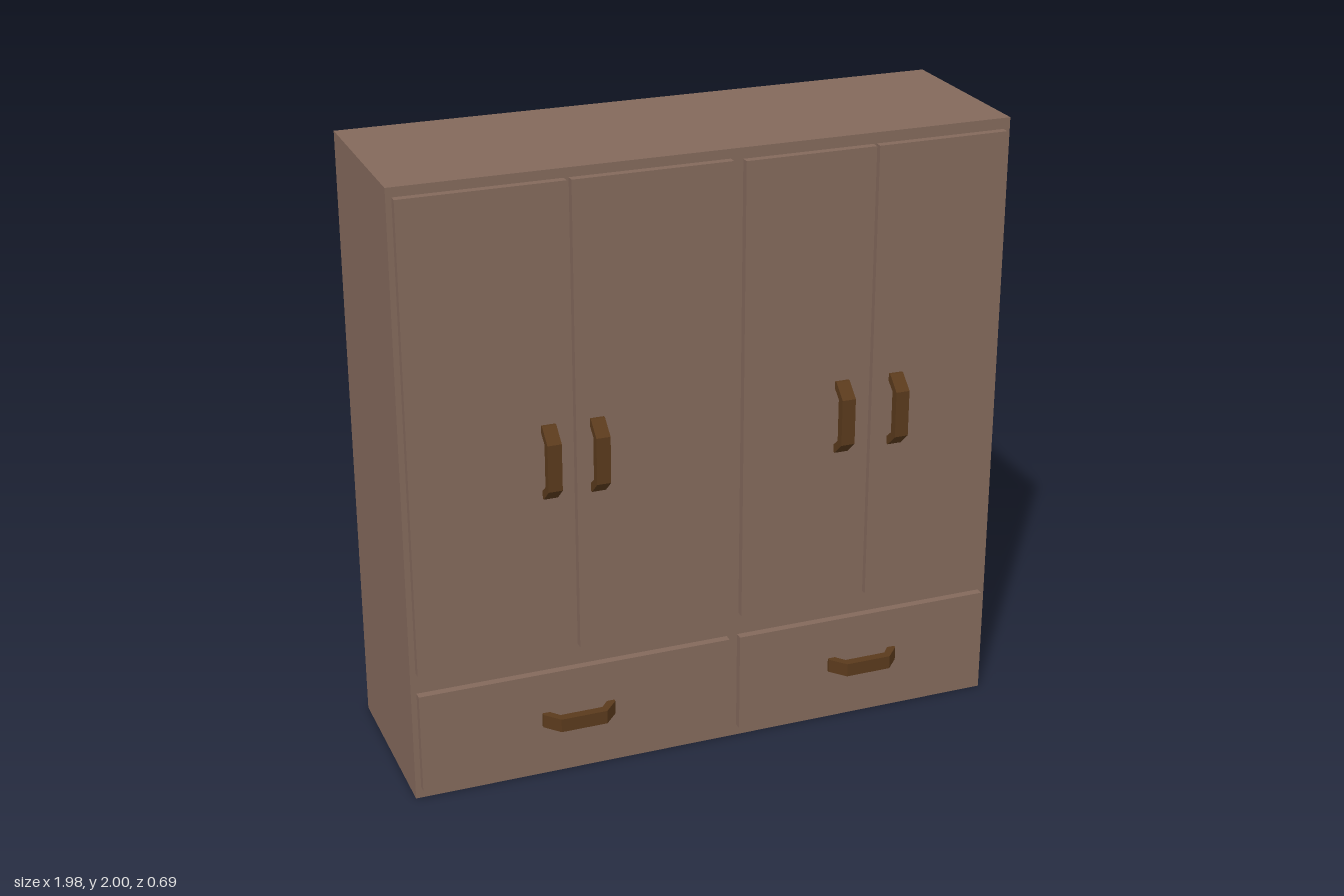
import * as THREE from 'three';

const wood = new THREE.MeshStandardMaterial({ color: 0x83695b });
wood.name = 'brown wood';
const darkWood = new THREE.MeshStandardMaterial({ color: 0x5a3a1c });
darkWood.name = 'dark handle';

const BODY_BACK = -0.345, BODY_FRONT = 0.26, PANEL_FRONT = 0.286;

// Box given by its limits on each axis
function box(name, x0, x1, y0, y1, z0, z1) {
  const mesh = new THREE.Mesh(new THREE.BoxGeometry(x1 - x0, y1 - y0, z1 - z0), wood);
  mesh.position.set((x0 + x1) / 2, (y0 + y1) / 2, (z0 + z1) / 2);
  mesh.name = name;
  return mesh;
}

// Bracket handle profile: x runs along the handle, y points away from the door
function handleGeometry() {
  const half = [[0.12, 0], [0.12, 0.01], [0.076, 0.059]];
  const inner = [[0.07, 0.03], [0.095, 0]];
  const mirror = (pts) => pts.map(([x, y]) => [-x, y]).reverse();
  const outline = [...half, ...mirror(half), ...mirror(inner), ...inner];
  const shape = new THREE.Shape(outline.map(([x, y]) => new THREE.Vector2(x, y)));
  const geo = new THREE.ExtrudeGeometry(shape, { depth: 0.045, bevelEnabled: false });
  geo.translate(0, 0, -0.0225);
  geo.rotateX(Math.PI / 2); // profile now projects along +z
  return geo;
}

export function createModel() {
  const model = new THREE.Group();
  model.name = 'wardrobe';
  model.add(box('cabinetBody', -0.988, 0.988, 0, 2, BODY_BACK, BODY_FRONT));

  // Doors and drawer fronts: name, x range, y range
  const panels = [
    ['outerRightDoor', -0.97, -0.46, 0.445, 1.97],
    ['innerRightDoor', -0.445, 0.06, 0.445, 1.97],
    ['innerLeftDoor', 0.1, 0.525, 0.45, 1.965],
    ['outerLeftDoor', 0.535, 0.966, 0.45, 1.965],
    ['rightDrawer', -0.97, 0.06, 0.038, 0.373],
    ['leftDrawer', 0.096, 0.966, 0.038, 0.373],
  ];
  for (const [name, x0, x1, y0, y1] of panels) {
    model.add(box(name, x0, x1, y0, y1, BODY_FRONT - 0.01, PANEL_FRONT));
  }

  // Handles: upright on the doors, level on the drawers
  const geo = handleGeometry();
  const addHandle = (name, x, y, upright) => {
    const handle = new THREE.Mesh(geo, darkWood);
    handle.name = name;
    handle.position.set(x, y, PANEL_FRONT);
    if (upright) handle.rotation.z = Math.PI / 2;
    model.add(handle);
  };
  for (const x of [-0.533, -0.379, 0.43, 0.615]) addHandle('doorHandle', x, 1.098, true);
  for (const x of [-0.455, 0.529]) addHandle('drawerHandle', x, 0.212, false);

  return model;
}
